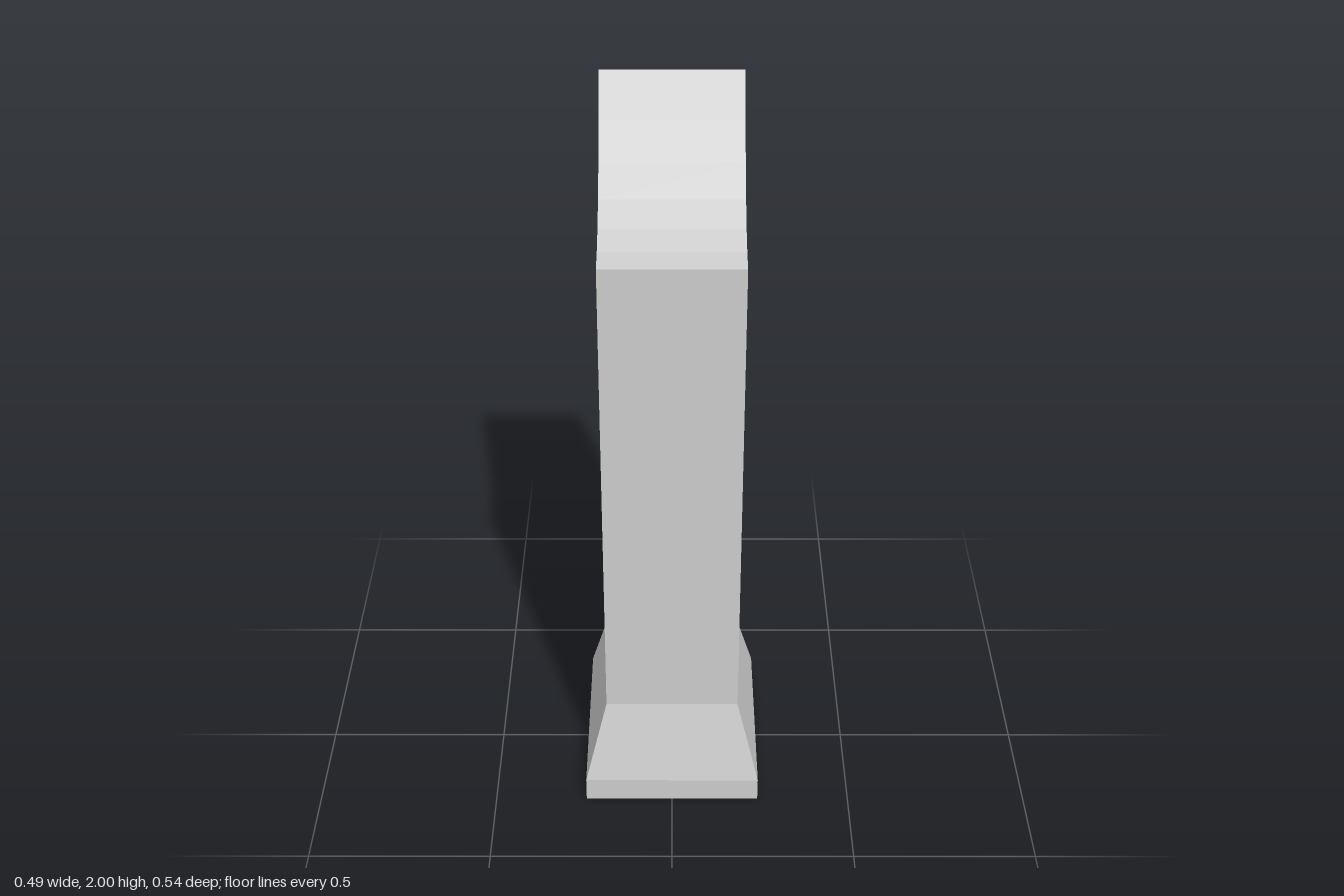
import * as THREE from 'three';

// Flat-shaded open surface from a list of quads (corners counter-clockwise seen from outside)
function quadMesh(name, quads, material) {
  const pos = [];
  for (const [a, b, c, d] of quads) pos.push(...a, ...b, ...c, ...a, ...c, ...d);
  const geometry = new THREE.BufferGeometry();
  geometry.setAttribute('position', new THREE.Float32BufferAttribute(pos, 3));
  geometry.computeVertexNormals();
  const mesh = new THREE.Mesh(geometry, material);
  mesh.name = name;
  return mesh;
}

// Rectangle ring, half sizes hx and hz at height y
const ring = (hx, hz, y) => [[-hx, y, hz], [hx, y, hz], [hx, y, -hz], [-hx, y, -hz]];

// Four walls between two rings
const walls = (low, high) => low.map((p, i) => {
  const j = (i + 1) % 4;
  return [p, low[j], high[j], high[i]];
});

export function createModel() {
  const group = new THREE.Group();
  group.name = 'post';
  const stone = new THREE.MeshStandardMaterial({ color: 0xcccccc, side: THREE.DoubleSide });
  stone.name = 'light grey';

  const hx = 0.183, hz = 0.211, footX = 0.243, footZ = 0.272;
  const footY = 0.07, neckY = 0.3, frontY = 1.66, backY = 2;

  // Hollow foot, open underneath, and the flare above it
  const foot = ring(footX, footZ, footY);
  group.add(quadMesh('foot', walls(ring(footX, footZ, 0), foot), stone));
  group.add(quadMesh('flare', walls(foot, ring(hx, hz, neckY)), stone));

  // Shaft sides and the concave top, in strips from front to back
  const steps = 6, sides = [], scoop = [];
  const at = (i) => {
    const t = i / steps;
    return [hz - 2 * hz * t, frontY + (backY - frontY) * t * t];
  };
  for (let i = 0; i < steps; i++) {
    const [z0, y0] = at(i), [z1, y1] = at(i + 1);
    sides.push([[hx, neckY, z0], [hx, neckY, z1], [hx, y1, z1], [hx, y0, z0]]);
    sides.push([[-hx, neckY, z1], [-hx, neckY, z0], [-hx, y0, z0], [-hx, y1, z1]]);
    scoop.push([[-hx, y0, z0], [hx, y0, z0], [hx, y1, z1], [-hx, y1, z1]]);
  }
  // Front and back of the shaft
  sides.push([[-hx, neckY, hz], [hx, neckY, hz], [hx, frontY, hz], [-hx, frontY, hz]]);
  sides.push([[hx, neckY, -hz], [-hx, neckY, -hz], [-hx, backY, -hz], [hx, backY, -hz]]);
  group.add(quadMesh('shaft', sides, stone));
  group.add(quadMesh('concaveTop', scoop, stone));

  return group;
}
